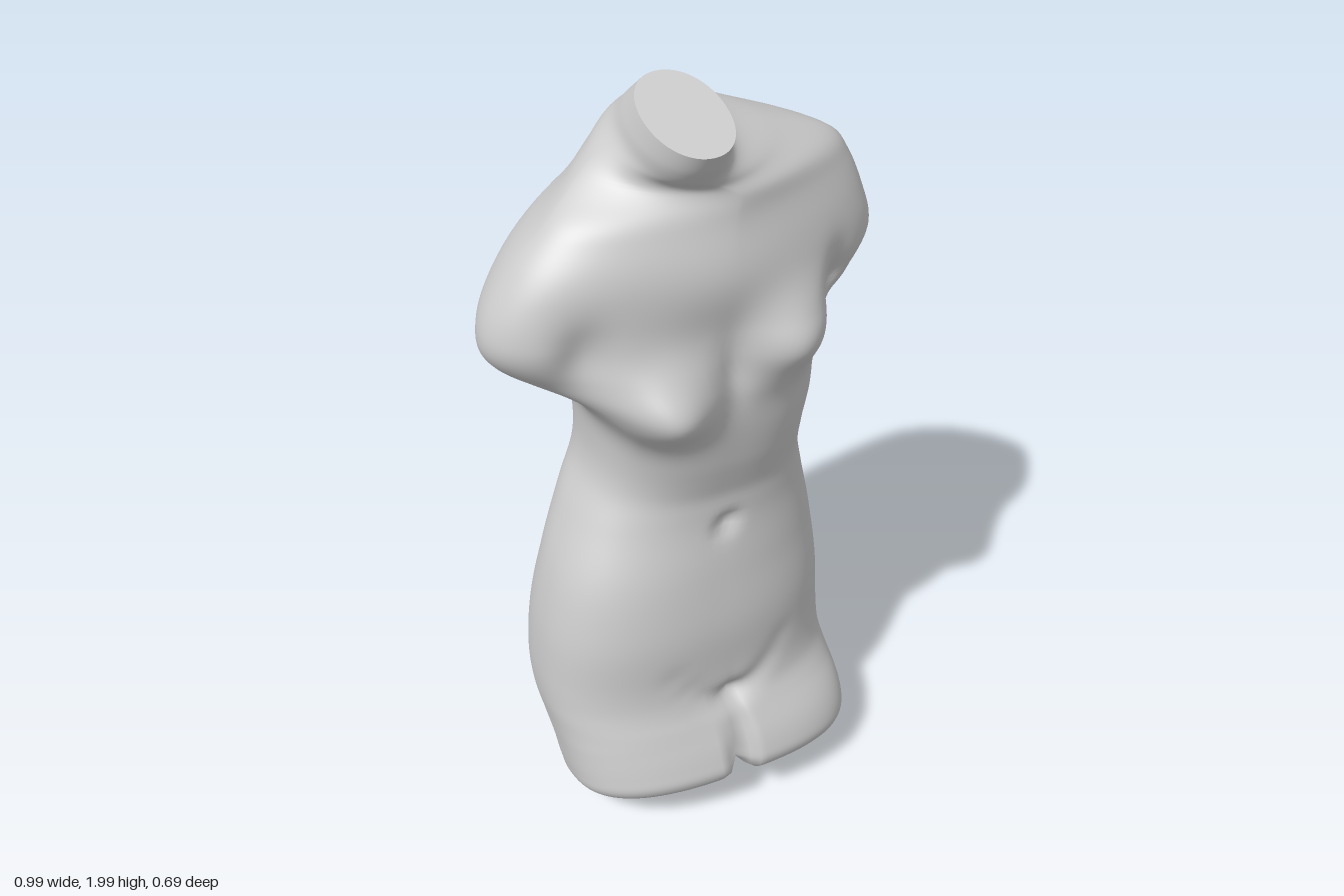
import * as THREE from 'three';

const SEGMENTS = 160;
const STEPS = 6; // rings between two profile rows

// Body outline per ring: height, right x, left x, front z, back z
const PROFILE = [
  [0.024, 0.02, 0.06, 0.11, 0.09],
  [0.021, -0.225, 0.315, 0.25, -0.035],
  [0.036, -0.305, 0.39, 0.312, -0.085],
  [0.07, -0.347, 0.42, 0.335, -0.115],
  [0.12, -0.36, 0.43, 0.325, -0.13],
  [0.20, -0.37, 0.43, 0.297, -0.17],
  [0.27, -0.38, 0.427, 0.277, -0.24],
  [0.35, -0.392, 0.422, 0.257, -0.30],
  [0.45, -0.394, 0.418, 0.243, -0.312],
  [0.60, -0.38, 0.405, 0.24, -0.30],
  [0.76, -0.343, 0.38, 0.215, -0.275],
  [0.90, -0.285, 0.345, 0.19, -0.265],
  [1.00, -0.235, 0.322, 0.195, -0.28],
  [1.10, -0.223, 0.32, 0.22, -0.30],
  [1.20, -0.24, 0.333, 0.235, -0.315],
  [1.29, -0.31, 0.338, 0.235, -0.325],
  [1.36, -0.415, 0.345, 0.23, -0.325],
  [1.41, -0.47, 0.38, 0.23, -0.325],
  [1.47, -0.495, 0.445, 0.23, -0.322],
  [1.55, -0.48, 0.49, 0.23, -0.318],
  [1.65, -0.42, 0.463, 0.225, -0.305],
  [1.73, -0.345, 0.427, 0.215, -0.28],
  [1.79, -0.275, 0.375, 0.21, -0.24],
  [1.85, -0.21, 0.22, 0.208, -0.16],
  [1.90, -0.165, 0.09, 0.225, -0.085],
  [1.95, -0.152, 0.052, 0.255, -0.035],
  [2.00, -0.142, 0.043, 0.28, 0.01],
];

// Sculpted swellings and hollows: x, y, radius x, radius y, amount
const FRONT = [
  [-0.15, 1.31, 0.125, 0.11, 0.115], // breasts
  [0.19, 1.42, 0.125, 0.11, 0.105],
  [0.03, 1.6, 0.2, 0.1, 0.025], // upper chest
  [0.32, 1.47, 0.04, 0.08, -0.05], // armpit folds
  [-0.31, 1.47, 0.06, 0.08, -0.03],
  [0.03, 1.37, 0.04, 0.1, -0.02], // breastbone
  [0.05, 0.89, 0.03, 0.026, -0.025], // navel
  [0.05, 0.98, 0.2, 0.03, -0.004], // waist crease
  [0.045, 0.17, 0.022, 0.15, -0.05], // gap between thighs
];
for (let i = 0; i < 5; i++) { // groin creases
  for (const side of [-1, 1]) FRONT.push([0.045 + side * 0.04 * i, 0.37 + 0.007 * i * i, 0.04, 0.03, -0.012 + 0.0018 * i]);
}
const BACK = [
  [-0.15, 0.42, 0.12, 0.14, 0.045], // buttocks
  [0.14, 0.43, 0.12, 0.14, 0.04],
  [0.02, 0.36, 0.032, 0.15, -0.09], // cleft
  [0.03, 0.1, 0.03, 0.12, -0.07], // gap between thighs
  [0.03, 1.15, 0.05, 0.35, -0.02], // spine
  [0.18, 1.5, 0.11, 0.17, 0.02], // shoulder blades
  [-0.18, 1.48, 0.11, 0.17, 0.025],
  [-0.33, 1.36, 0.06, 0.08, -0.04], // folds behind the arms
  [0.34, 1.46, 0.05, 0.1, -0.045],
];

const smooth = THREE.MathUtils.smoothstep;
const bell = (d, r) => Math.exp(-((d / r) ** 2));
const power = (v, p) => Math.sign(v) * Math.abs(v) ** p;
const relief = (list, x, y) =>
  list.reduce((sum, [cx, cy, rx, ry, a]) => sum + a * bell(x - cx, rx) * bell(y - cy, ry), 0);

// Smooth interpolation between profile rows
function profileAt(t) {
  const i = Math.min(Math.floor(t), PROFILE.length - 2);
  const f = t - i;
  const row = (k) => PROFILE[THREE.MathUtils.clamp(k, 0, PROFILE.length - 1)];
  return PROFILE[0].map((_, c) => {
    const [a, b, d, e] = [row(i - 1)[c], row(i)[c], row(i + 1)[c], row(i + 2)[c]];
    return b + 0.5 * f * (d - a + f * (2 * a - 5 * b + 4 * d - e + f * (3 * (b - d) + e - a)));
  });
}

// One cross-section: a rounded outline, tilted at the neck and thigh cuts
function ring(t) {
  const [h, xr, xl, zf, zb] = profileAt(t);
  const cx = (xr + xl) / 2, hw = (xl - xr) / 2;
  const cz = (zf + zb) / 2, hd = (zf - zb) / 2;
  const tilt = 0.33 * (1 - smooth(h, 0.15, 0.45)) - 0.3 * smooth(h, 1.74, 1.92);
  const hips = -0.035 * smooth(h, 0.1, 0.35) * (1 - smooth(h, 0.7, 1));
  const arms = smooth(h, 1.25, 1.5) * (1 - smooth(h, 1.72, 1.88));
  const strength = Math.min(1, (hd / 0.16) ** 2) * (1 - smooth(h, 1.75, 1.9));
  const points = [];
  for (let j = 0; j < SEGMENTS; j++) {
    const angle = (j / SEGMENTS) * Math.PI * 2;
    const c = Math.cos(angle), s = Math.sin(angle);
    // Full at the thighs and waist, tapered towards the arm stumps, round at the neck
    const armpit = c > 0 ? 1.42 : 1.33;
    const n = 2.6 - 0.2 * smooth(h, 0.1, 0.4) - 0.5 * smooth(h, armpit - 0.07, armpit + 0.07)
      - 0.35 * smooth(h, 1.6, 1.8) + 0.55 * smooth(h, 1.82, 1.93);
    const u = power(c, 2 / n);
    const x = cx + hw * u;
    let z = cz + hd * power(s, 2 / n) + hips * u + arms * (0.07 * u * u - 0.04 * u);
    let y = h + tilt * z;
    const amount = relief(s > 0 ? FRONT : BACK, x, y) * strength * Math.min(1, Math.abs(s) * 1.6);
    z += Math.sign(s) * amount;
    y += 0.04 * bell(x - 0.04, 0.03) * (1 - smooth(h, 0.02, 0.09)); // notch under the thighs
    points.push([x, Math.max(0, y), z]);
  }
  return points;
}

function buildGeometry(positions, index) {
  const geometry = new THREE.BufferGeometry();
  geometry.setAttribute('position', new THREE.Float32BufferAttribute(positions, 3));
  geometry.setIndex(index);
  geometry.computeVertexNormals();
  return geometry;
}

export function createModel() {
  const model = new THREE.Group();
  model.name = 'torsoStatue';
  const material = new THREE.MeshStandardMaterial({ color: 0xcccccc });
  const add = (name, geometry) => {
    const mesh = new THREE.Mesh(geometry, material);
    mesh.name = name;
    model.add(mesh);
  };

  // Body skin from thigh cut to neck
  const count = (PROFILE.length - 1) * STEPS;
  const rings = Array.from({ length: count + 1 }, (_, i) => ring(i / STEPS));
  const index = [];
  for (let i = 0; i < count; i++) {
    for (let j = 0; j < SEGMENTS; j++) {
      const k = (j + 1) % SEGMENTS;
      const a = i * SEGMENTS + j, b = i * SEGMENTS + k;
      index.push(a, a + SEGMENTS, b, b, a + SEGMENTS, b + SEGMENTS);
    }
  }
  add('body', buildGeometry(rings.flat(2), index));

  // Flat end caps: neck cut and the small closing patch below
  const cap = (points, up) => {
    const centre = [0, 1, 2].map((c) => points.reduce((sum, p) => sum + p[c], 0) / SEGMENTS);
    const faces = [];
    for (let j = 0; j < SEGMENTS; j++) {
      const k = (j + 1) % SEGMENTS;
      faces.push(0, up ? k + 1 : j + 1, up ? j + 1 : k + 1);
    }
    return buildGeometry([centre, ...points].flat(), faces);
  };
  add('neckCut', cap(rings[count], true));
  add('thighCutCentre', cap(rings[0], false));
  return model;
}
